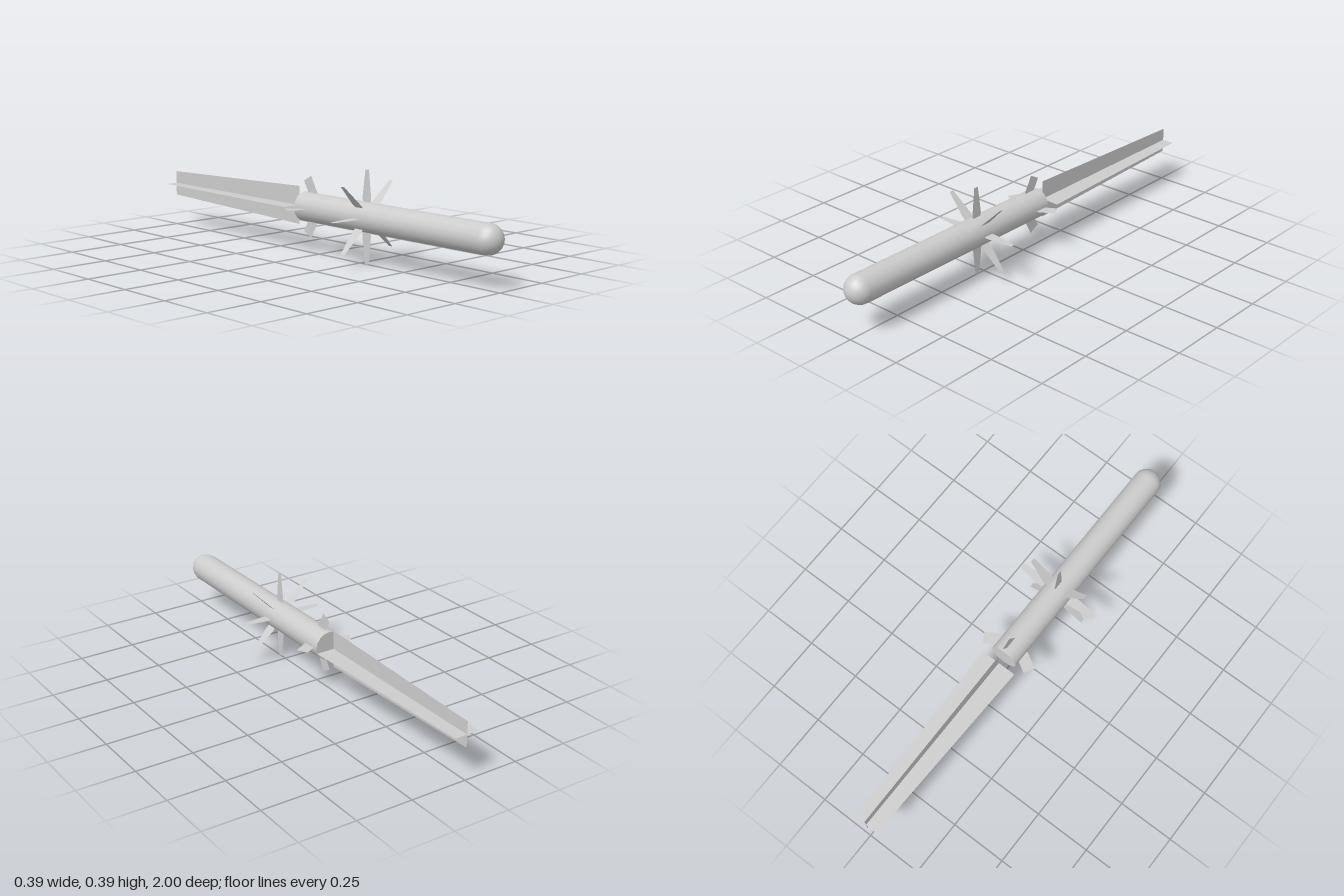
import * as THREE from 'three';

const R = 0.063;      // body radius
const AXIS_Y = 0.197; // height of the long axis
const TAIL_Z = -0.09;

export function createModel() {
  const grey = new THREE.MeshStandardMaterial({ color: 0xcccccc });
  grey.name = 'lightGrey';
  grey.side = THREE.DoubleSide;

  const model = new THREE.Group();
  model.name = 'missile';
  model.position.y = AXIS_Y;

  const add = (name, geometry, parent = model) => {
    const mesh = new THREE.Mesh(geometry, grey);
    mesh.name = name;
    parent.add(mesh);
    return mesh;
  };

  // Tube with a rounded nose, turned about the z axis
  const profile = [new THREE.Vector2(R, TAIL_Z)];
  for (let i = 0; i <= 8; i++) {
    const a = (i / 8) * Math.PI / 2;
    profile.push(new THREE.Vector2(R * Math.cos(a), 1 - R + R * Math.sin(a)));
  }
  add('body', new THREE.LatheGeometry(profile, 16).rotateX(Math.PI / 2));
  add('tailCap', new THREE.CircleGeometry(R, 16).rotateY(Math.PI)).position.z = TAIL_Z;

  // Flat plate from [z, radius] corners, lying in a plane through the axis
  const plate = (corners) => {
    const shape = new THREE.Shape(corners.map(([z, r]) => new THREE.Vector2(z, r)));
    return new THREE.ShapeGeometry(shape).rotateY(-Math.PI / 2);
  };
  // Copies of a plate spaced evenly around the axis
  const ring = (name, corners, count) => {
    const group = new THREE.Group();
    group.name = name + 's';
    const geometry = plate(corners);
    for (let i = 0; i < count; i++) {
      add(name, geometry, group).rotation.z = (i / count) * Math.PI * 2;
    }
    model.add(group);
  };

  // Eight slim wings amidships
  ring('wing', [
    [0.267, 0.045], [0.262, 0.08], [0.278, 0.197],
    [0.299, 0.197], [0.312, 0.08], [0.307, 0.045],
  ], 8);

  // Four swept tail fins
  ring('tailFin', [[0.0, 0.045], [-0.05, 0.135], [-0.096, 0.11], [-0.058, 0.045]], 4);

  // Long tapering exhaust made of two crossed plates
  const flame = [[-0.125, 0.083], [-0.125, -0.083], [-1, -0.056], [-1, 0.056]];
  add('exhaustVertical', plate(flame));
  add('exhaustHorizontal', plate(flame)).rotation.z = Math.PI / 2;

  const root = new THREE.Group();
  root.add(model);
  return root;
}
